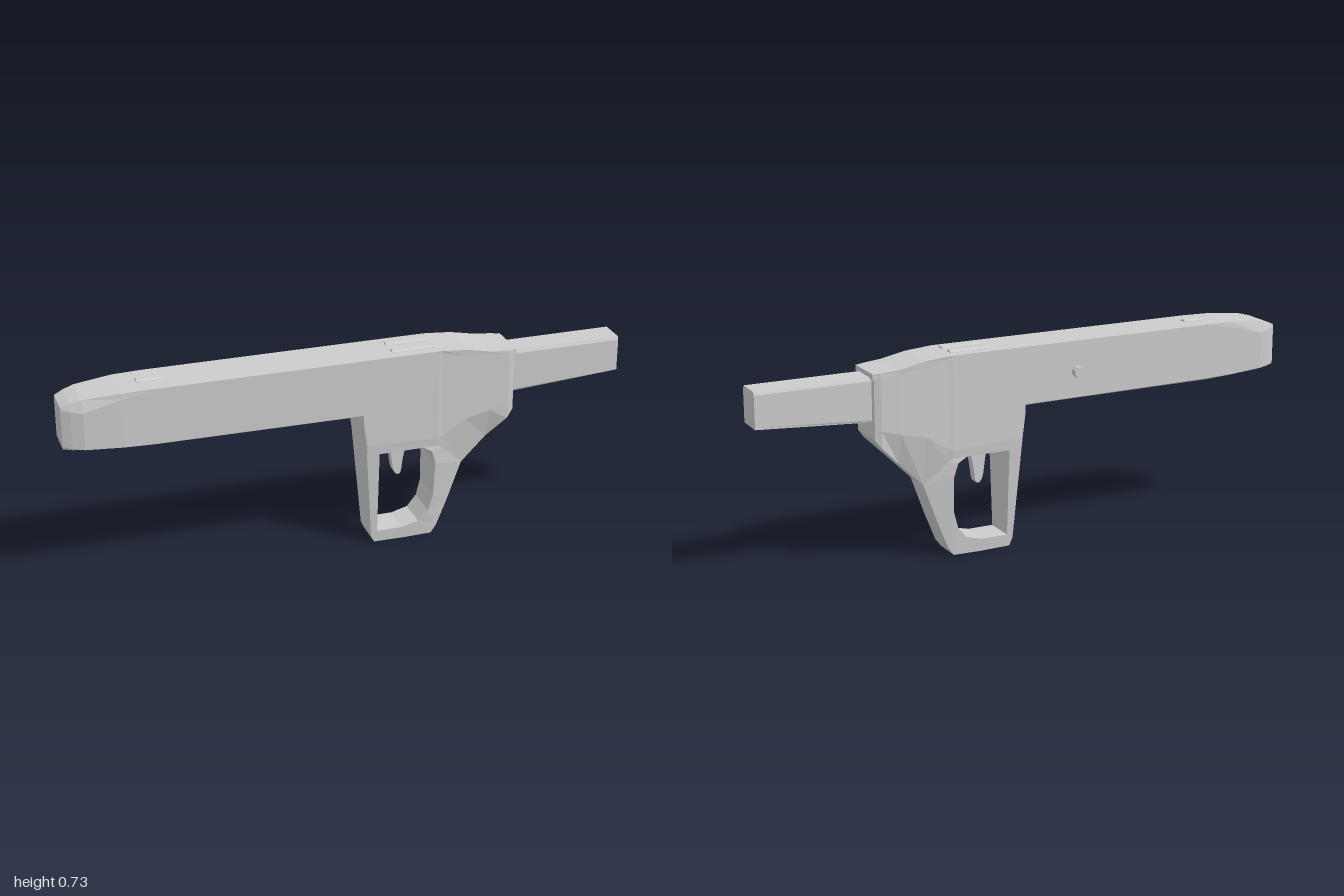
import * as THREE from 'three';

const material = new THREE.MeshStandardMaterial({ color: 0xcccccc, flatShading: true });
const ZC = 0.012; // centre plane of the body

// Skin a list of equal-length closed rings and cap both ends.
function loft(rings) {
  const pos = [];
  const tri = (...pts) => pts.forEach((p) => pos.push(...p));
  const n = rings[0].length;
  for (let i = 0; i < rings.length - 1; i++) {
    for (let j = 0; j < n; j++) {
      const k = (j + 1) % n;
      const a = rings[i][j], b = rings[i][k], c = rings[i + 1][k], d = rings[i + 1][j];
      tri(a, b, c);
      tri(a, c, d);
    }
  }
  const first = rings[0], last = rings[rings.length - 1];
  for (let j = 1; j < n - 1; j++) {
    tri(first[0], first[j + 1], first[j]);
    tri(last[0], last[j], last[j + 1]);
  }
  const geo = new THREE.BufferGeometry();
  geo.setAttribute('position', new THREE.Float32BufferAttribute(pos, 3));
  geo.computeVertexNormals();
  return geo;
}

// Eight-sided section across x: heights and half widths from top to bottom.
function section([x, top, high, low, bottom, hTop, hSide, hBottom]) {
  return [
    [x, top, -hTop], [x, top, hTop], [x, high, hSide], [x, low, hSide],
    [x, bottom, hBottom], [x, bottom, -hBottom], [x, low, -hSide], [x, high, -hSide],
  ];
}

// Half width of the grip frame, narrowing towards its foot.
const taper = (y) => 0.055 + 0.029 * Math.min(1, y / 0.4);

export function createModel() {
  const group = new THREE.Group();
  const add = (name, geo, x = 0, y = 0, z = ZC) => {
    const mesh = new THREE.Mesh(geo, material);
    mesh.name = name;
    mesh.position.set(x, y, z);
    group.add(mesh);
    return mesh;
  };

  // Long front housing with a bevelled nose
  add('frontHousing', loft([
    [-1, 0.685, 0.675, 0.545, 0.535, 0.053, 0.056, 0.053],
    [-0.97, 0.698, 0.672, 0.538, 0.529, 0.06, 0.07, 0.058],
    [-0.93, 0.708, 0.665, 0.534, 0.525, 0.068, 0.082, 0.062],
    [-0.8, 0.719, 0.7, 0.525, 0.519, 0.082, 0.084, 0.07],
    [-0.7, 0.721, 0.715, 0.522, 0.515, 0.084, 0.084, 0.072],
    [-0.1, 0.721, 0.715, 0.518, 0.515, 0.084, 0.084, 0.08],
    [0.06, 0.721, 0.715, 0.518, 0.515, 0.084, 0.084, 0.083],
  ].map(section)));

  // Rear housing, cut away below towards the back
  add('rearHousing', loft([
    [0.036, 0.721, 0.715, 0.485, 0.48, 0.084, 0.084, 0.084],
    [0.05, 0.721, 0.715, 0.4, 0.36, 0.084, 0.084, 0.081],
    [0.31, 0.721, 0.715, 0.39, 0.36, 0.084, 0.084, 0.081],
    [0.325, 0.72, 0.71, 0.395, 0.35, 0.084, 0.082, 0.077],
    [0.41, 0.713, 0.69, 0.45, 0.27, 0.084, 0.083, 0.055],
    [0.5, 0.695, 0.68, 0.47, 0.36, 0.084, 0.083, 0.055],
    [0.57, 0.689, 0.675, 0.49, 0.43, 0.081, 0.082, 0.08],
    [0.592, 0.688, 0.672, 0.495, 0.46, 0.07, 0.074, 0.074],
  ].map(section)));

  // Overhanging lip around the rear opening
  add('rearLip', new THREE.BoxGeometry(0.03, 0.02, 0.15), 0.581, 0.678);

  // Loop-shaped grip frame: outer x, y, inner x, y, outer half width
  add('gripFrame', loft([
    [0.044, 0.42, 0.095, 0.42],
    [0.073, 0.03, 0.095, 0.045],
    [0.085, 0.002, 0.095, 0.045],
    [0.2, 0, 0.19, 0.045],
    [0.3, 0.002, 0.25, 0.06],
    [0.32, 0.03, 0.285, 0.1, 0.055],
    [0.36, 0.13, 0.302, 0.16, 0.055],
    [0.41, 0.27, 0.305, 0.29, 0.055],
    [0.4, 0.36, 0.29, 0.34, 0.055],
    [0.38, 0.4, 0.25, 0.365, 0.055],
  ].map(([ox, oy, ix, iy, oh = taper(oy)]) => {
    const ih = taper(iy);
    return [[ix, iy, -ih], [ix, iy, ih], [ox, oy, oh], [ox, oy, -oh]];
  })));

  // Curved trigger
  const t = new THREE.Shape();
  t.moveTo(0.15, 0.38);
  t.lineTo(0.166, 0.27);
  t.quadraticCurveTo(0.172, 0.235, 0.19, 0.238);
  t.quadraticCurveTo(0.198, 0.24, 0.2, 0.27);
  t.quadraticCurveTo(0.207, 0.33, 0.225, 0.38);
  const trigger = new THREE.ExtrudeGeometry(t, { depth: 0.034, bevelEnabled: false, curveSegments: 4 });
  add('trigger', trigger, 0, 0, ZC - 0.017);

  // Tapered rear arm with softened edges
  add('rearArm', loft([
    [0.57, 0.672, 0.66, 0.524, 0.516, 0.046, 0.053, 0.05],
    [1, 0.672, 0.66, 0.552, 0.545, 0.046, 0.052, 0.052],
  ].map(section)));

  // Low ridges on top: one in front, a pair behind
  const ridge = (name, x, length, z, w) => add(name, loft([x - length / 2, x + length / 2].map((px) => [
    [px, 0.715, -w], [px, 0.722, -w], [px, 0.728, -w / 3], [px, 0.728, w / 3], [px, 0.722, w], [px, 0.715, w],
  ])), 0, 0, z);
  ridge('frontSight', -0.69, 0.09, ZC, 0.015);
  for (const s of [-1, 1]) ridge('rearSight', 0.225, 0.15, ZC + s * 0.033, 0.015);

  // Faceted side button
  const button = new THREE.CylinderGeometry(0.02, 0.02, 0.036, 8);
  button.rotateY(Math.PI / 8).rotateX(Math.PI / 2);
  add('sideButton', button, -0.165, 0.612, -0.078);

  return group;
}
